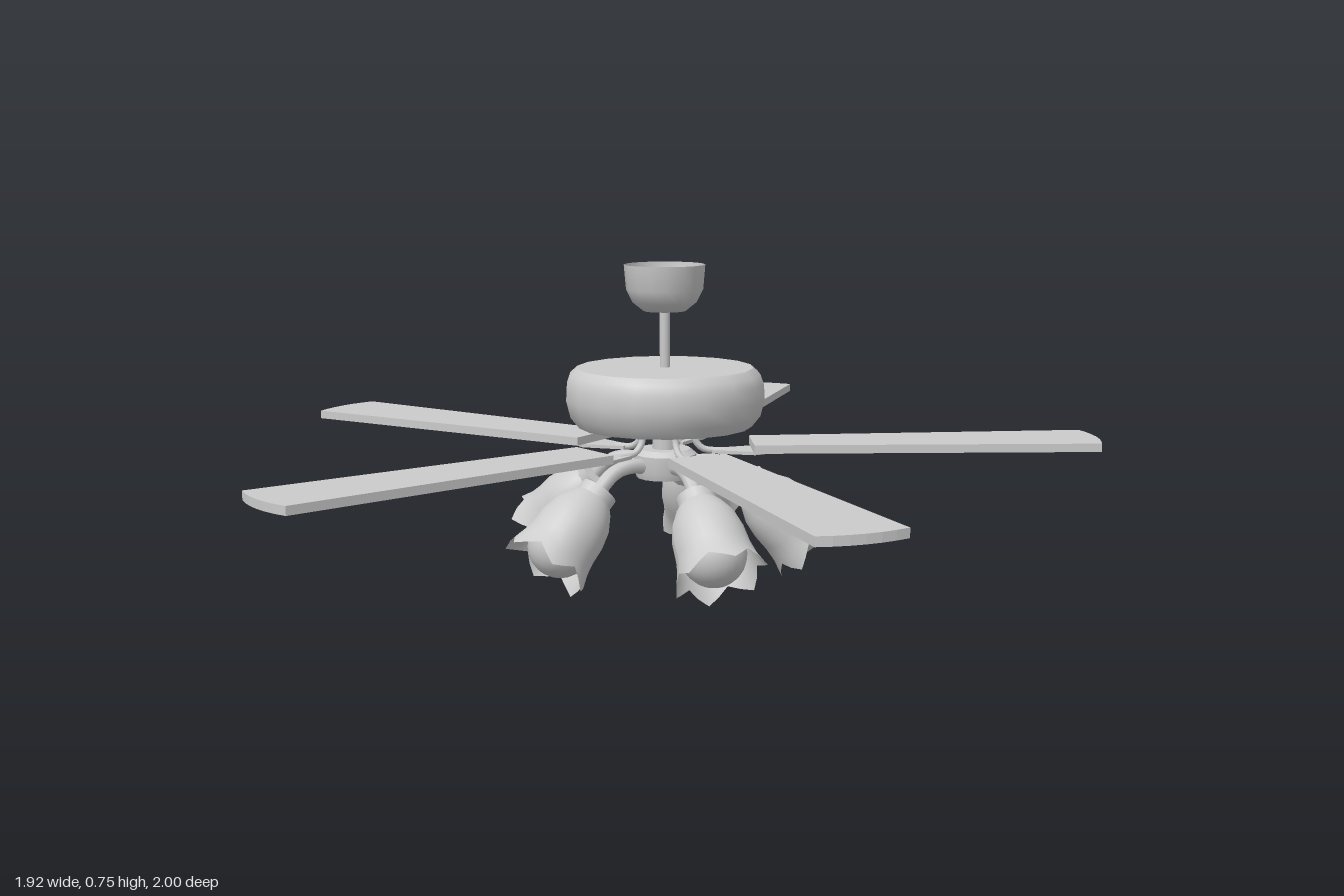
import * as THREE from 'three';
import { toCreasedNormals } from 'three/addons/utils/BufferGeometryUtils.js';

const COUNT = 5;
const AXIS_X = -0.08;
const grey = new THREE.MeshStandardMaterial({ color: 0xcccccc });
const thinGrey = new THREE.MeshStandardMaterial({ color: 0xcccccc, side: THREE.DoubleSide });

function add(parent, name, geometry, material = grey) {
  const mesh = new THREE.Mesh(geometry, material);
  mesh.name = name;
  parent.add(mesh);
  return mesh;
}

function lathe(points, segments) {
  const profile = points.map(([r, y]) => new THREE.Vector2(r, y));
  return toCreasedNormals(new THREE.LatheGeometry(profile, segments), 0.7);
}

// Tube through points given as [radius from axis, height]
function tube(points, radius, segments = 12) {
  const curve = new THREE.CatmullRomCurve3(points.map(([r, y]) => new THREE.Vector3(r, y, 0)));
  return new THREE.TubeGeometry(curve, segments, radius, 8);
}

function plate(shape, depth, y) {
  const geometry = new THREE.ExtrudeGeometry(shape, { depth, bevelEnabled: false, curveSegments: 6 });
  return geometry.rotateX(-Math.PI / 2).translate(0, y, 0);
}

// Slightly widening blade with a curved tip, and the iron that carries it
function createBlade() {
  const blade = new THREE.Group();
  const outline = new THREE.Shape();
  outline.moveTo(0.205, -0.07);
  outline.lineTo(1.02, -0.097);
  outline.quadraticCurveTo(1.05, 0, 1.02, 0.097);
  outline.lineTo(0.205, 0.07);
  add(blade, 'bladePanel', plate(outline, 0.02, 0.326));

  const foot = new THREE.Shape();
  foot.moveTo(0.11, -0.015);
  foot.lineTo(0.21, -0.045);
  foot.quadraticCurveTo(0.31, 0, 0.21, 0.045);
  foot.lineTo(0.11, 0.015);
  add(blade, 'bladeIronFoot', plate(foot, 0.008, 0.318));
  add(blade, 'bladeIronArm', tube([[0.065, 0.39], [0.07, 0.35], [0.09, 0.328], [0.14, 0.322]], 0.008));
  return blade;
}

// Tulip shade: the rim is drawn out into six petals
function shadeGeometry() {
  const profile = [[0.038, 0], [0.055, 0.02], [0.074, 0.055], [0.083, 0.095], [0.085, 0.135], [0.09, 0.165], [0.1, 0.195]];
  const geometry = new THREE.LatheGeometry(profile.map(([r, y]) => new THREE.Vector2(r, y)), 24);
  const p = geometry.attributes.position;
  for (let i = 0; i < p.count; i++) {
    const x = p.getX(i), y = p.getY(i), z = p.getZ(i);
    const wave = Math.cos(6 * Math.atan2(z, x)) * Math.pow(y / 0.195, 4);
    const flare = 1 + 0.07 * wave;
    p.setXYZ(i, x * flare, y + 0.016 * wave, z * flare);
  }
  geometry.computeVertexNormals();
  return geometry;
}

function createLight() {
  const light = new THREE.Group();
  add(light, 'lightArm', tube([[0.05, 0.29], [0.1, 0.298], [0.15, 0.288], [0.185, 0.262], [0.207, 0.238]], 0.018));
  // Local +y points outward and down at 45 degrees
  const lamp = new THREE.Group();
  lamp.name = 'lamp';
  lamp.position.set(0.205, 0.24, 0);
  lamp.rotation.z = -Math.PI * 0.75;
  light.add(lamp);
  add(lamp, 'lampCollar', new THREE.CylinderGeometry(0.045, 0.045, 0.032, 16));
  add(lamp, 'lampShade', shadeGeometry(), thinGrey);
  add(lamp, 'bulb', new THREE.SphereGeometry(0.075, 20, 14)).position.y = 0.14;
  return light;
}

export function createModel() {
  const model = new THREE.Group();
  model.name = 'ceilingFan';
  const fan = new THREE.Group();
  fan.name = 'fan';
  fan.position.x = AXIS_X;
  model.add(fan);

  // Open ceiling cup and hanging rod
  add(fan, 'ceilingCup', lathe([[0, 0.655], [0.05, 0.655], [0.075, 0.675], [0.09, 0.705], [0.095, 0.763]], 16), thinGrey);
  add(fan, 'hangingRod', new THREE.CylinderGeometry(0.012, 0.012, 0.15, 12)).position.y = 0.59;

  // Rounded motor drum and the hub below it
  add(fan, 'motorHousing', lathe([[0, 0.385], [0.205, 0.385], [0.225, 0.41], [0.235, 0.45],
    [0.233, 0.485], [0.225, 0.508], [0.208, 0.523], [0, 0.523]], 18));
  add(fan, 'motorShaft', new THREE.CylinderGeometry(0.03, 0.03, 0.07, 12)).position.y = 0.355;
  add(fan, 'lightHub', lathe([[0, 0.262], [0.068, 0.262], [0.074, 0.28], [0.074, 0.318], [0.06, 0.33], [0, 0.33]], 16));

  // Blades and lights share the same five directions
  for (let i = 0; i < COUNT; i++) {
    for (const [name, create] of [['blade', createBlade], ['light', createLight]]) {
      const part = create();
      part.name = name + (i + 1);
      part.rotation.y = (i * 2 * Math.PI) / COUNT;
      fan.add(part);
    }
  }
  return model;
}
